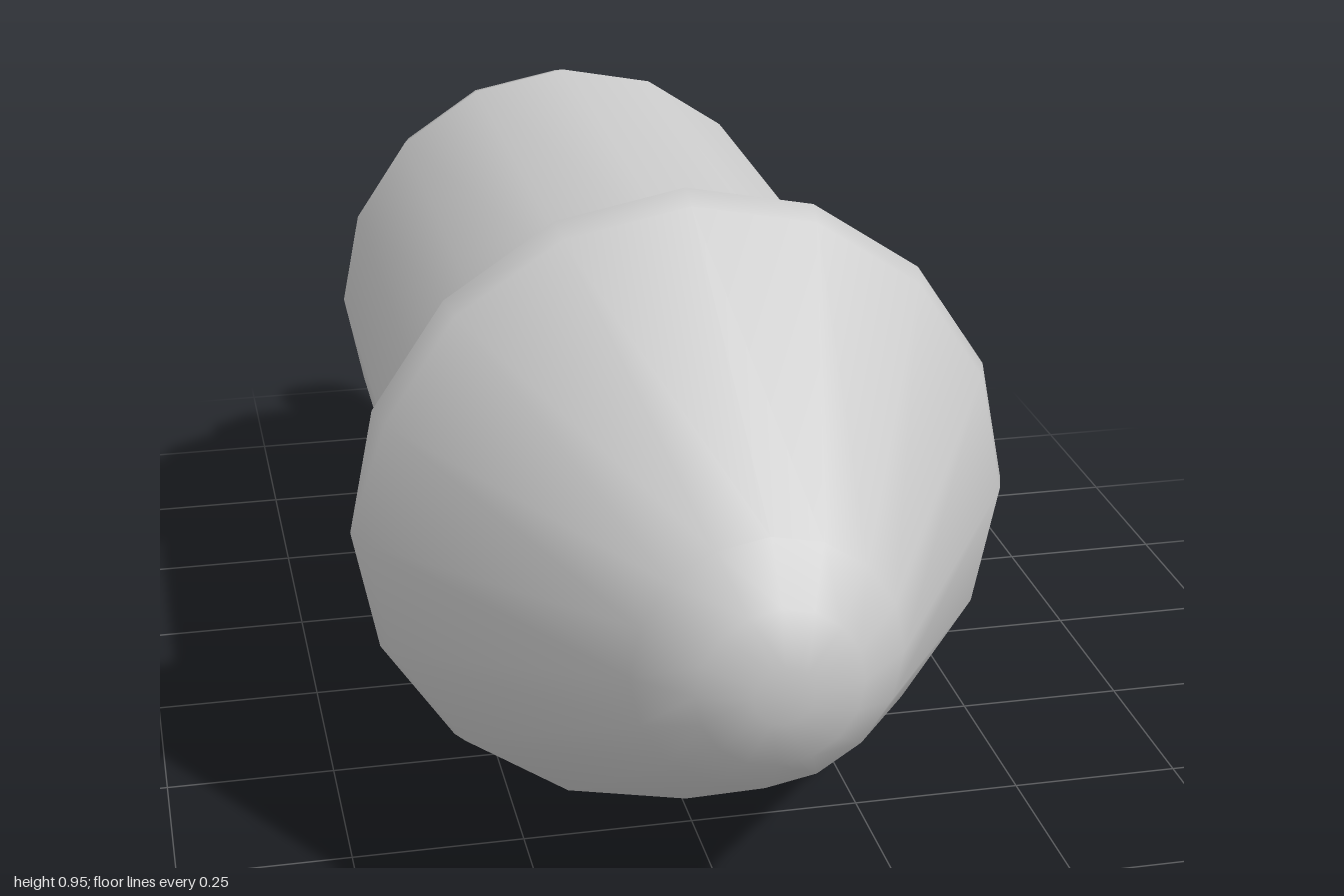
import * as THREE from 'three';

const SIDES = 16;
const AXIS_Y = 0.479;

export function createModel() {
  const model = new THREE.Group();
  model.name = 'fireworkRocket';
  const material = new THREE.MeshStandardMaterial({ color: 0xcccccc });

  const add = (name, geometry, y = AXIS_Y) => {
    const mesh = new THREE.Mesh(geometry, material);
    mesh.name = name;
    mesh.position.y = y;
    model.add(mesh);
    return mesh;
  };

  // Turned part along z; profile is [radius, z] from back to front
  const turned = (profile) =>
    new THREE.LatheGeometry(profile.map(([r, z]) => new THREE.Vector2(r, z)), SIDES).rotateX(Math.PI / 2);

  // Cone with a rounded tip and a rolled rear lip
  add('noseCone', turned([
    [0, 0.385], [0.38, 0.385], [0.44, 0.38], [0.46, 0.38], [0.476, 0.42], [0.462, 0.46],
    [0.18, 0.915], [0.11, 0.98], [0.04, 1], [0, 1],
  ]));

  // Straight tube with a bevelled rear shoulder
  add('body', turned([
    [0.26, -0.605], [0.285, -0.605], [0.36, -0.583], [0.383, -0.505], [0.383, 0.39],
  ]));

  // Hollow nozzle: bowl, rounded rim, outer wall
  add('nozzle', turned([
    [0, -0.58], [0.12, -0.585], [0.19, -0.62], [0.212, -0.7],
    [0.228, -0.727], [0.265, -0.727], [0.279, -0.705], [0.279, -0.59],
  ]));

  // Bent fuse with a bevelled end
  const radius = 0.074;
  const path = new THREE.CatmullRomCurve3([
    new THREE.Vector3(-0.04, 0, -0.56),
    new THREE.Vector3(-0.04, 0, -0.73),
    new THREE.Vector3(-0.058, 0, -0.84),
    new THREE.Vector3(-0.096, 0, -0.948),
  ]);
  add('fuse', new THREE.TubeGeometry(path, 10, radius, 12), 0.467);

  const tip = add('fuseTip', new THREE.LatheGeometry([
    new THREE.Vector2(radius, 0), new THREE.Vector2(0.066, 0.02),
    new THREE.Vector2(0.05, 0.031), new THREE.Vector2(0, 0.033),
  ], 12), 0.467);
  const end = path.getPoint(1);
  tip.position.x = end.x;
  tip.position.z = end.z;
  tip.quaternion.setFromUnitVectors(new THREE.Vector3(0, 1, 0), path.getTangent(1));

  return model;
}
